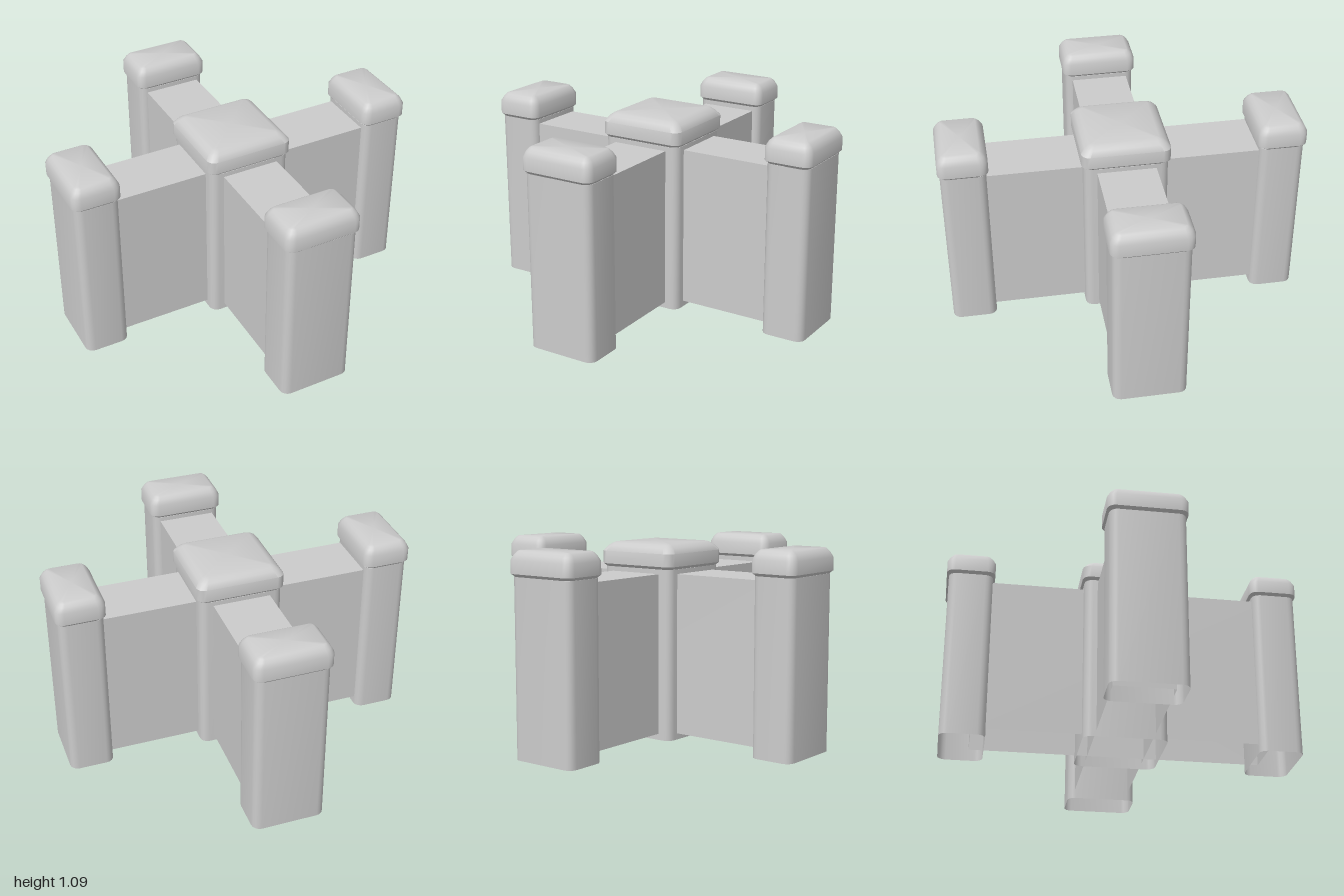
import * as THREE from 'three';
import { toCreasedNormals } from 'three/addons/utils/BufferGeometryUtils.js';

const material = new THREE.MeshStandardMaterial({ color: 0xcccccc, side: THREE.DoubleSide });

// Rounded rectangle outline with half sizes a, b and corner radius r
function ring(a, b, r, steps = 4) {
  const points = [];
  const corners = [[1, 1], [-1, 1], [-1, -1], [1, -1]];
  corners.forEach(([sx, sz], c) => {
    for (let i = 0; i <= steps; i++) {
      const t = (c + i / steps) * Math.PI / 2;
      points.push([sx * (a - r) + r * Math.cos(t), sz * (b - r) + r * Math.sin(t)]);
    }
  });
  return points;
}

// Stacks rounded rectangles; each level is [height, growth, corner radius]
function loft(a, b, levels, closeTop) {
  const positions = [], index = [];
  let n = 0;
  for (const [y, grow, r] of levels) {
    const outline = ring(a + grow, b + grow, r);
    n = outline.length;
    for (const [x, z] of outline) positions.push(x, y, z);
  }
  for (let j = 0; j < levels.length - 1; j++) {
    for (let i = 0; i < n; i++) {
      const k = (i + 1) % n, p = j * n + i, q = j * n + k;
      index.push(p, p + n, q, q, p + n, q + n);
    }
  }
  if (closeTop) {
    const last = (levels.length - 1) * n;
    positions.push(0, levels[levels.length - 1][0], 0);
    for (let i = 0; i < n; i++) index.push(last + i, levels.length * n, last + (i + 1) % n);
  }
  const geometry = new THREE.BufferGeometry();
  geometry.setAttribute('position', new THREE.Float32BufferAttribute(positions, 3));
  geometry.setIndex(index);
  return toCreasedNormals(geometry, 0.7);
}

// Hollow post, open at the bottom, with a rounded cap
function createPost(name, a, b, bottom, lip, inset) {
  const post = new THREE.Group();
  post.name = name;
  const shaft = new THREE.Mesh(loft(a, b, [[bottom, 0, 0.045], [0.955, 0, 0.045]], false), material);
  shaft.name = 'shaft';
  const cap = new THREE.Mesh(loft(a, b, [
    [0.955, -0.003, 0.045],
    [0.97, lip, 0.045],
    [1.04, lip, 0.045],
    [1.068, lip - inset * 0.35, 0.04],
    [1.083, lip - inset * 0.7, 0.03],
    [1.09, lip - inset, 0.015],
  ], true), material);
  cap.name = 'cap';
  post.add(shaft, cap);
  return post;
}

// Straight wall running through the middle, open underneath
function createWall(name) {
  const geometry = new THREE.BoxGeometry(1.64, 0.88, 0.32);
  const index = Array.from(geometry.index.array);
  index.splice(18, 6);
  geometry.setIndex(index);
  const wall = new THREE.Mesh(geometry, material);
  wall.name = name;
  wall.position.y = 0.49;
  return wall;
}

export function createModel() {
  const model = new THREE.Group();
  model.name = 'crossWall';

  // Crossing walls
  const sideWall = createWall('sideWall');
  const frontWall = createWall('frontWall');
  frontWall.rotation.y = Math.PI / 2;
  model.add(sideWall, frontWall);

  // Square post at the crossing
  model.add(createPost('centrePost', 0.233, 0.23, 0.015, 0.012, 0.06));

  // Narrow posts at the four wall ends
  ['leftPost', 'backPost', 'rightPost', 'frontPost'].forEach((name, i) => {
    const post = createPost(name, 0.123, 0.2, 0, 0.012, 0.04);
    const angle = i * Math.PI / 2;
    post.rotation.y = angle;
    post.position.set(0.865 * Math.cos(angle), 0, -0.865 * Math.sin(angle));
    model.add(post);
  });
  return model;
}
